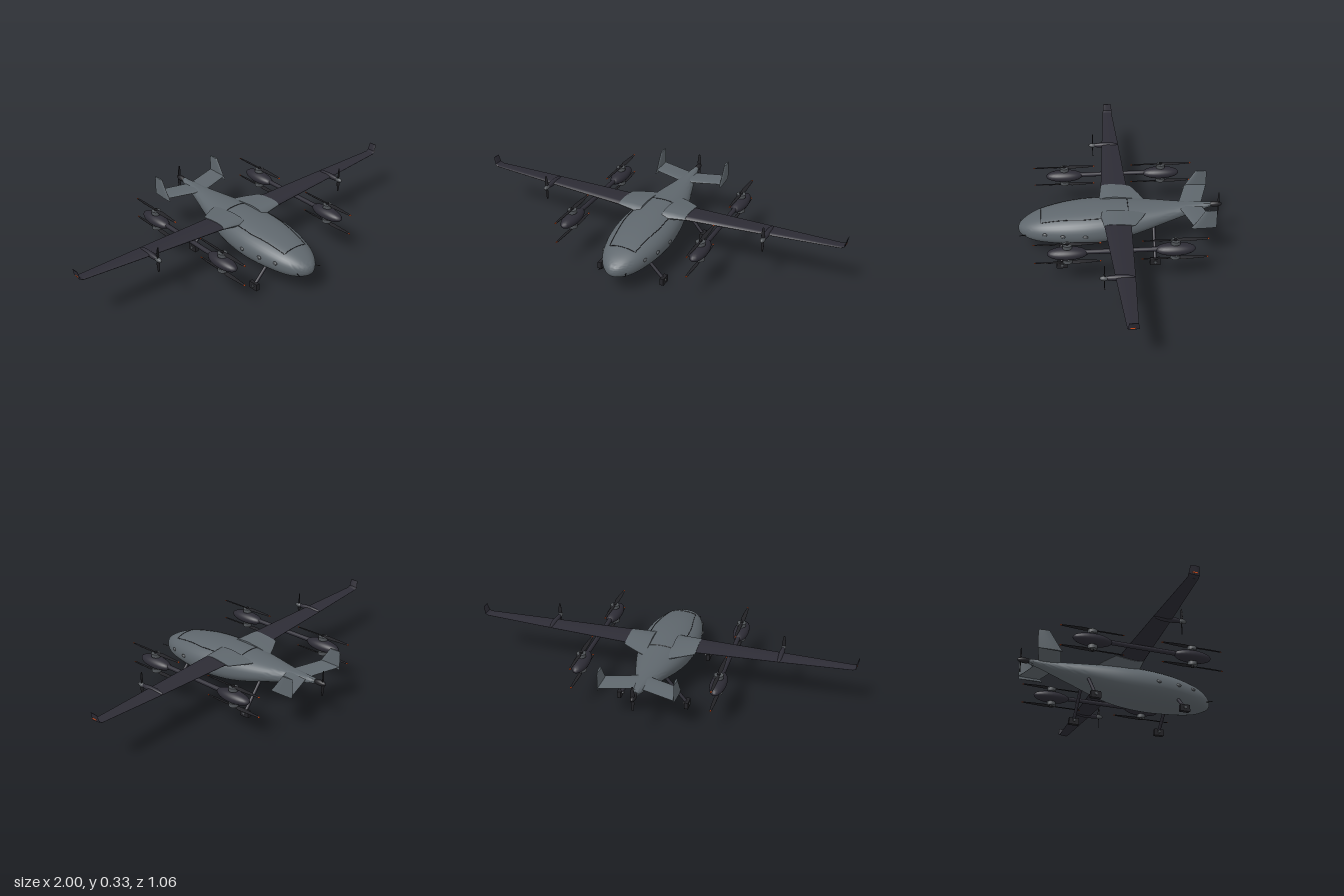
import * as THREE from 'three';
import { toCreasedNormals } from 'three/addons/utils/BufferGeometryUtils.js';

const mat = (name, color) => {
  const m = new THREE.MeshStandardMaterial({ color });
  m.name = name;
  return m;
};
const V = (x, y, z) => new THREE.Vector3(x, y, z);

export function createModel() {
  const model = new THREE.Group();
  model.name = 'aircraft';
  const grey = mat('hull grey', 0x5f676d);
  const dark = mat('wing charcoal', 0x2d2c35);
  const black = mat('rotor black', 0x222226);
  const steel = mat('motor steel', 0x505458);
  const orange = mat('signal orange', 0xe0521c);

  const add = (name, geo, m, parent = model) => {
    const mesh = new THREE.Mesh(geo, m);
    mesh.name = name;
    parent.add(mesh);
    return mesh;
  };

  // Skin closed rings of points, cap both ends and turn the faces outward
  function loft(rings, crease = 0.7) {
    const n = rings[0].length, pos = [], idx = [];
    rings.forEach(r => r.forEach(p => pos.push(p.x, p.y, p.z)));
    for (let i = 0; i < rings.length - 1; i++) for (let j = 0; j < n; j++) {
      const a = i * n + j, b = i * n + (j + 1) % n;
      idx.push(a, b, a + n, b, b + n, a + n);
    }
    const last = (rings.length - 1) * n;
    for (let j = 1; j < n - 1; j++) idx.push(0, j + 1, j, last, last + j, last + j + 1);
    const at = i => V(pos[3 * i], pos[3 * i + 1], pos[3 * i + 2]);
    let volume = 0;
    for (let i = 0; i < idx.length; i += 3) volume += at(idx[i]).dot(at(idx[i + 1]).cross(at(idx[i + 2])));
    if (volume < 0) idx.reverse();
    const g = new THREE.BufferGeometry();
    g.setAttribute('position', new THREE.Float32BufferAttribute(pos, 3));
    g.setIndex(idx);
    return toCreasedNormals(g, crease);
  }

  // Airfoil ring between leading and trailing points; up is the half thickness
  const shape = [[0, 0], [0.04, 0.55], [0.15, 0.9], [0.35, 1], [0.65, 0.65], [1, 0.08],
    [1, -0.08], [0.65, -0.65], [0.35, -1], [0.15, -0.9], [0.04, -0.55]];
  const foil = (lead, trail, up) =>
    shape.map(([t, h]) => lead.clone().lerp(trail, t).addScaledVector(up, h));

  const rod = (name, a, b, r, m, parent = model) => {
    const mesh = add(name, new THREE.CylinderGeometry(r, r, a.distanceTo(b), 14), m, parent);
    mesh.position.copy(a).lerp(b, 0.5);
    mesh.quaternion.setFromUnitVectors(V(0, 1, 0), b.clone().sub(a).normalize());
    return mesh;
  };
  const ball = (name, p, rx, ry, rz, m, parent = model) => {
    const mesh = add(name, new THREE.SphereGeometry(1, 24, 16).scale(rx, ry, rz), m, parent);
    mesh.position.copy(p);
    return mesh;
  };

  // Fuselage stations: z, half width, top, bottom
  const stations = [
    [0.53, 0.002, 0.137, 0.133], [0.522, 0.027, 0.16, 0.115], [0.5, 0.055, 0.178, 0.101],
    [0.46, 0.086, 0.2, 0.088], [0.4, 0.113, 0.221, 0.08], [0.3, 0.138, 0.242, 0.075],
    [0.2, 0.149, 0.254, 0.073], [0.1, 0.147, 0.26, 0.077], [0, 0.135, 0.26, 0.09],
    [-0.1, 0.113, 0.256, 0.115], [-0.2, 0.085, 0.252, 0.146], [-0.3, 0.055, 0.249, 0.175],
    [-0.4, 0.029, 0.249, 0.206], [-0.47, 0.014, 0.25, 0.225]];
  const POW = 2.25;
  const sizes = new THREE.CatmullRomCurve3(stations.map(s => V(s[1], s[2], s[3])), false, 'catmullrom', 0.5);
  const places = new THREE.CatmullRomCurve3(stations.map(s => V(s[0], 0, 0)), false, 'catmullrom', 0.5);
  const body = [];
  for (let i = 0; i <= 52; i++) {
    const s = sizes.getPoint(i / 52);
    body.push({ z: places.getPoint(i / 52).x, w: s.x, y: (s.y + s.z) / 2, h: (s.y - s.z) / 2 });
  }
  const bend = c => Math.sign(c) * Math.abs(c) ** (2 / POW);
  add('fuselage', loft(body.map(b => Array.from({ length: 40 }, (_, j) => {
    const a = j / 40 * Math.PI * 2;
    return V(b.w * bend(Math.cos(a)), b.y + b.h * bend(Math.sin(a)), b.z);
  })), 0.9), grey);

  // Point on the upper hull, used to lay panel seams
  function onHull(x, z) {
    let i = 1;
    while (i < body.length - 1 && body[i].z > z) i++;
    const a = body[i - 1], b = body[i], t = (a.z - z) / (a.z - b.z);
    const w = a.w + (b.w - a.w) * t, y = a.y + (b.y - a.y) * t, h = a.h + (b.h - a.h) * t;
    return V(x, y + h * Math.max(0, 1 - Math.min(1, Math.abs(x) / w) ** POW) ** (1 / POW), z);
  }
  function seam(name, corners) {
    const pts = [];
    for (let i = 0; i < corners.length - 1; i++) for (let k = 0; k < 10; k++) {
      const [p, q] = [corners[i], corners[i + 1]], t = k / 10;
      pts.push(onHull(p[0] + (q[0] - p[0]) * t, p[1] + (q[1] - p[1]) * t));
    }
    pts.push(onHull(...corners.at(-1)));
    add(name, new THREE.TubeGeometry(new THREE.CatmullRomCurve3(pts), 80, 0.0018, 5), black);
  }
  seam('hatchFrontSeam', [[-0.07, 0.41], [0.07, 0.41]]);
  seam('hatchRearSeam', [[-0.085, -0.04], [0.085, -0.04]]);

  // Two-bladed rotor: blades along z, turning about y
  function rotor(name, radius, chord, tips) {
    const g = new THREE.Group();
    g.name = name;
    const ring = (d, c, tilt) => foil(V(c / 2, tilt * c, d * radius), V(-c / 2, -tilt * c, d * radius), V(0, 0.0022, 0));
    for (const s of [1, -1]) {
      const holder = new THREE.Group();
      holder.name = 'bladeHolder';
      holder.rotation.y = s > 0 ? 0 : Math.PI;
      g.add(holder);
      add('blade', loft([ring(0.03, chord * 0.5, 0.15), ring(0.25, chord, 0.14),
        ring(0.6, chord * 0.85, 0.09), ring(0.95, chord * 0.5, 0.05)]), black, holder);
      add('bladeTip', loft([ring(0.95, chord * 0.5, 0.05), ring(1, chord * 0.3, 0.04)]), tips, holder);
    }
    model.add(g);
    return g;
  }

  for (const s of [1, -1]) {
    seam('hatchSideSeam', [[s * 0.07, 0.41], [s * 0.1, 0.2], [s * 0.1, 0.08], [s * 0.085, -0.04]]);

    // Wing root fairing, wing panel and upturned tip
    const section = (x, y, front, back, half) => foil(V(s * x, y, front), V(s * x, y, back), V(0, half, 0));
    add('wingFairing', loft([section(0.06, 0.24, 0.108, -0.13, 0.024),
      section(0.115, 0.245, 0.1, -0.105, 0.02), section(0.187, 0.25, 0.091, -0.065, 0.014)]), grey);
    add('wing', loft([section(0.185, 0.25, 0.09, -0.046, 0.012), section(0.6, 0.259, 0.063, -0.032, 0.008),
      section(0.975, 0.268, 0.036, -0.016, 0.005)]), dark);
    add('winglet', loft([section(0.974, 0.268, 0.036, -0.016, 0.005),
      foil(V(s * 0.989, 0.276, 0.035), V(s * 0.989, 0.276, -0.018), V(-s * 0.002, 0.003, 0)),
      foil(V(s * 0.998, 0.315, 0.03), V(s * 0.998, 0.315, -0.012), V(-s * 0.002, 0, 0))]), dark);
    add('tipLight', new THREE.BoxGeometry(0.003, 0.005, 0.024), orange).position.set(s * 0.9925, 0.284, 0.012);

    // Wing propeller with its nacelle
    ball('wingNacelle', V(s * 0.61, 0.259, 0.045), 0.014, 0.015, 0.075, dark);
    ball('wingSpinner', V(s * 0.61, 0.259, 0.115), 0.012, 0.012, 0.022, steel);
    const puller = rotor('wingPropeller', 0.068, 0.018, black);
    puller.position.set(s * 0.61, 0.259, 0.113);
    puller.rotation.x = Math.PI / 2;

    // Lift boom with a pod and paired rotors at each end
    const bx = s * 0.355;
    rod('liftBoom', V(bx, 0.225, 0.36), V(bx, 0.225, -0.33), 0.012, dark);
    for (const z of [0.28, -0.247]) {
      ball('liftPod', V(bx, 0.222, z), 0.04, 0.031, 0.1, dark);
      rod('motorShaft', V(bx, 0.164, z), V(bx, 0.281, z), 0.008, black);
      for (const [y0, y1, yr] of [[0.255, 0.274, 0.276], [0.17, 0.19, 0.168]]) {
        rod('liftMotor', V(bx, y0, z), V(bx, y1, z), 0.024, steel);
        rotor('liftRotor', 0.165, 0.022, orange).position.set(bx, yr, z);
      }
    }

    // Tailplane and end fin
    add('tailplane', loft([section(0.005, 0.238, -0.3, -0.42, 0.008),
      section(0.19, 0.238, -0.358, -0.475, 0.005)]), grey);
    const fin = (y, front, back) => foil(V(s * 0.19, y, front), V(s * 0.19, y, back), V(0.005, 0, 0));
    add('tailFin', loft([fin(0.222, -0.345, -0.475), fin(0.24, -0.36, -0.475),
      fin(0.31, -0.405, -0.475), fin(0.325, -0.415, -0.472)]), grey);

    // Landing legs and feet
    for (const [z, hipX, hipY, footX] of [[0.31, 0.095, 0.105, 0.175], [-0.17, 0.06, 0.165, 0.18]]) {
      rod('landingLeg', V(s * hipX, hipY, z), V(s * footX, 0.022, z), 0.0085, dark);
      rod('footAxle', V(s * (footX - 0.02), 0.02, z), V(s * (footX + 0.014), 0.02, z), 0.007, steel);
      const foot = new THREE.Shape();
      foot.moveTo(-0.028, 0.003).lineTo(-0.025, 0).lineTo(0.025, 0).lineTo(0.028, 0.003);
      foot.lineTo(0.026, 0.037).lineTo(-0.026, 0.037);
      const g = new THREE.ExtrudeGeometry(foot, { depth: 0.02, bevelEnabled: false });
      g.translate(0, 0, -0.01).rotateY(Math.PI / 2);
      add('landingFoot', g, black).position.set(s * footX, 0, z);
    }

    // Side sensors and nose probe
    for (const [x, z] of [[0.114, 0.39], [0.138, 0.3], [0.149, 0.185]])
      ball('sideSensor', V(s * x, 0.163, z), 0.007, 0.009, 0.013, steel);
    rod('noseProbe', V(s * 0.058, 0.128, 0.485), V(s * 0.072, 0.134, 0.522), 0.0022, black);
  }

  // Pusher propeller at the tail
  ball('tailMotor', V(0, 0.238, -0.495), 0.014, 0.015, 0.036, black);
  const pusher = rotor('tailPropeller', 0.068, 0.02, black);
  pusher.position.set(0, 0.238, -0.513);
  pusher.rotation.x = Math.PI / 2;

  return model;
}
